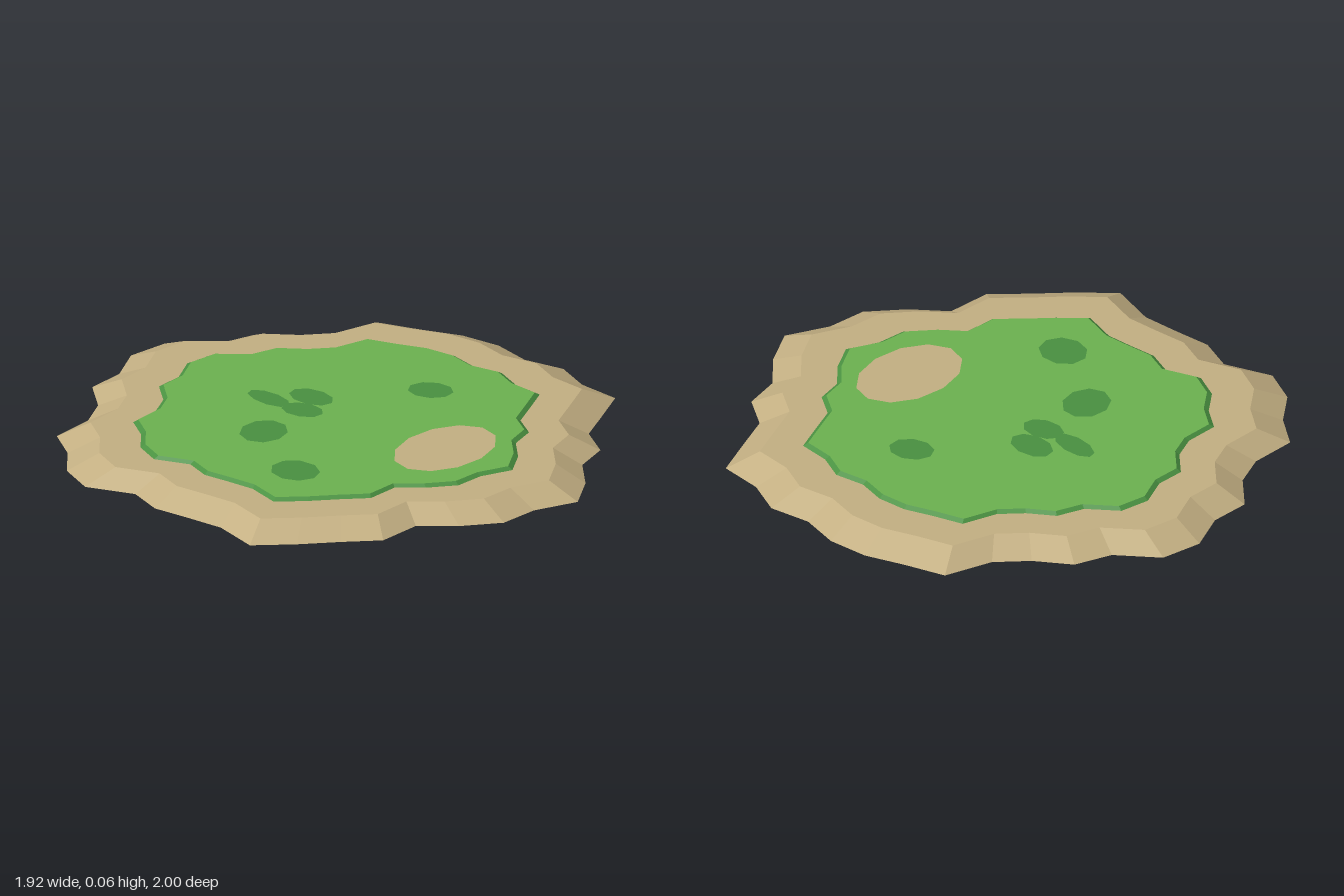
import * as THREE from 'three';

const mat = (name, color) =>
  new THREE.MeshStandardMaterial({ name, color, side: THREE.DoubleSide, flatShading: true });

// Shoreline radius every 9 degrees, from the front (+z) round through +x
const SHORE = [
  1.013, 0.952, 0.882, 0.914, 0.864, 0.92, 1.008, 0.949, 0.968, 0.92,
  0.958, 0.97, 0.965, 0.992, 0.878, 0.871, 0.92, 0.899, 0.997, 0.995,
  0.922, 0.943, 0.864, 0.869, 0.967, 0.943, 0.984, 0.981, 0.868, 0.9,
  0.89, 0.906, 1.013, 0.968, 0.937, 0.936, 0.841, 0.901, 0.958, 0.945,
];
const CENTRE_Z = -0.018;
const SAND_Y = 0.051;
const GRASS_Y = 0.061;

// A point on the shoreline, scaled towards the centre and lifted
function shorePoint(i, scale, y) {
  const n = SHORE.length;
  const a = (i / n) * Math.PI * 2;
  const r = SHORE[i % n] * scale;
  return [Math.sin(a) * r, y, Math.cos(a) * r + CENTRE_Z];
}

// Faceted band between two scaled shorelines; inner scale 0 closes it
function band(name, material, [s0, y0], [s1, y1]) {
  const pos = [];
  for (let i = 0; i < SHORE.length; i++) {
    const a = shorePoint(i, s0, y0);
    const b = shorePoint(i + 1, s0, y0);
    const c = shorePoint(i + 1, s1, y1);
    const d = shorePoint(i, s1, y1);
    pos.push(...a, ...b, ...c);
    if (s1 > 0) pos.push(...a, ...c, ...d);
  }
  const geo = new THREE.BufferGeometry();
  geo.setAttribute('position', new THREE.Float32BufferAttribute(pos, 3));
  geo.computeVertexNormals();
  const mesh = new THREE.Mesh(geo, material);
  mesh.name = name;
  return mesh;
}

// Flat oval lying just above the grass
function patch(name, material, x, z, rx, rz, turn, sides) {
  const geo = new THREE.CircleGeometry(1, sides)
    .rotateX(-Math.PI / 2)
    .scale(rx, 1, rz)
    .rotateY(turn);
  const mesh = new THREE.Mesh(geo, material);
  mesh.name = name;
  mesh.position.set(x, GRASS_Y + 0.0015, z);
  return mesh;
}

export function createModel() {
  const sand = mat('sand', 0xc4b083);
  const grass = mat('grass', 0x6cb350);
  const darkGrass = mat('dark grass', 0x4a9141);

  const island = new THREE.Group();
  island.name = 'island';

  // Beach slope and flat beach
  island.add(
    band('beachSlope', sand, [1, 0], [0.88, SAND_Y]),
    band('beachTop', sand, [0.88, SAND_Y], [0.728, SAND_Y]),
  );

  // Raised lawn with a darker bevelled edge
  island.add(
    band('lawnEdge', darkGrass, [0.728, SAND_Y], [0.71, GRASS_Y]),
    band('lawn', grass, [0.71, GRASS_Y], [0, GRASS_Y]),
  );

  // Bare sandy clearing near the front
  island.add(patch('sandClearing', sand, 0, 0.435, 0.222, 0.153, 0, 12));

  // Darker tufts on the lawn: x, z, radii, turn
  const tufts = [
    [-0.24, -0.16, 0.1, 0.083, 0.3],
    [-0.457, 0.127, 0.082, 0.094, -0.35],
    [0.386, 0.1, 0.068, 0.082, 0.2],
    [0.005, -0.312, 0.045, 0.096, -0.2],
    [0.1, -0.2, 0.06, 0.09, -0.15],
    [-0.01, -0.16, 0.057, 0.08, 0],
  ];
  for (const t of tufts) island.add(patch('grassTuft', darkGrass, ...t, 9));

  return island;
}
